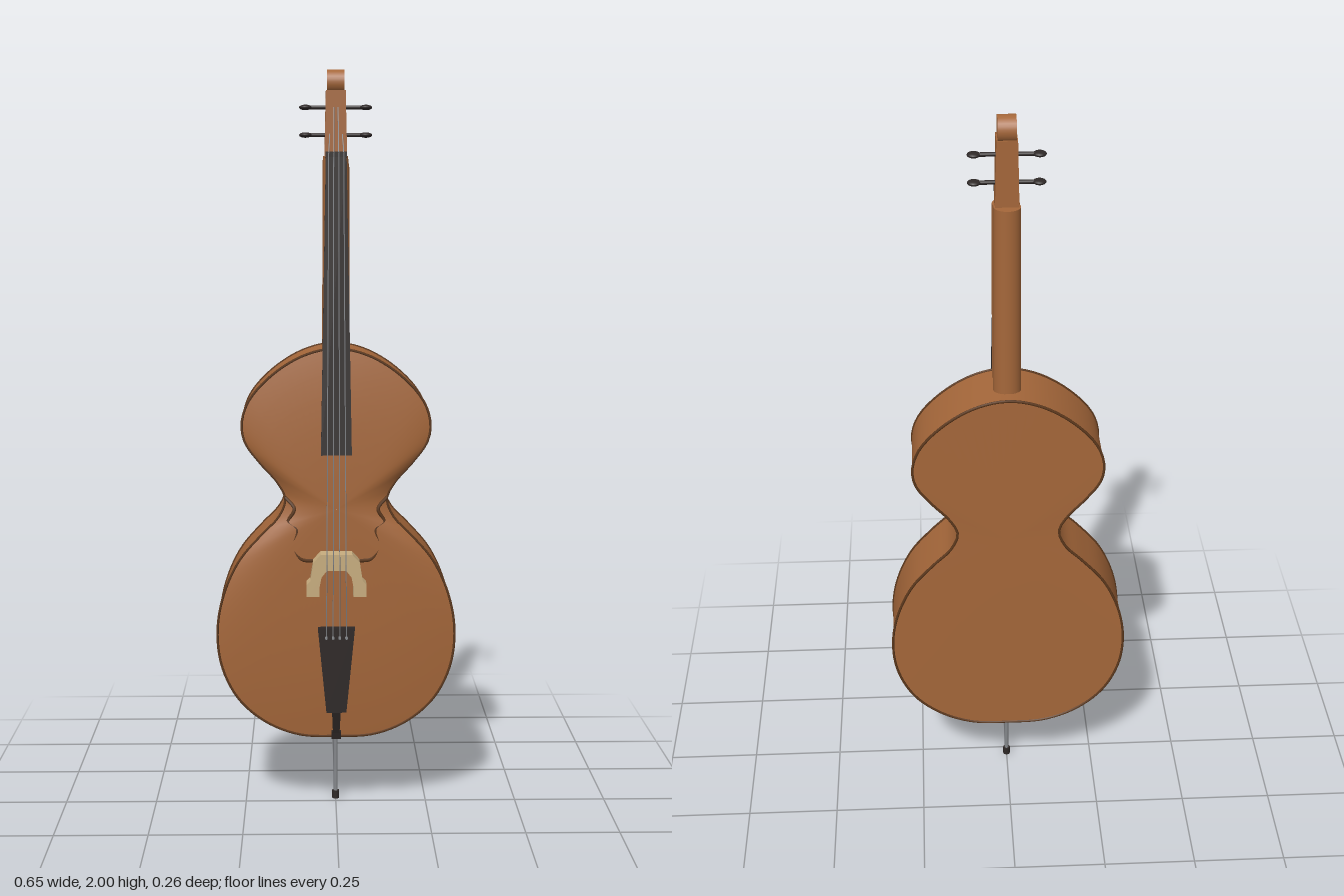
import * as THREE from 'three';

const mat = (name, color, side = THREE.FrontSide) => {
  const m = new THREE.MeshStandardMaterial({ color, side });
  m.name = name;
  return m;
};

export function createModel() {
  const wood = mat('wood', 0xa5673a);
  const edge = mat('dark wood edge', 0x5c381c);
  const ebony = mat('ebony', 0x2e2827);
  const maple = mat('pale maple', 0xc8ad7f);
  const steel = mat('steel', 0x85888c);

  const group = new THREE.Group();
  const add = (name, geometry, material) => {
    const mesh = new THREE.Mesh(geometry, material);
    mesh.name = name;
    group.add(mesh);
    return mesh;
  };

  // Body outline, counterclockwise from the bottom centre
  const half = [[0.1, 0.21], [0.19, 0.245], [0.265, 0.31], [0.31, 0.4], [0.322, 0.5], [0.305, 0.6],
    [0.262, 0.695], [0.2, 0.768], [0.155, 0.815], [0.136, 0.865], [0.157, 0.91], [0.205, 0.965],
    [0.244, 1.02], [0.252, 1.07], [0.233, 1.13], [0.17, 1.2], [0.085, 1.252]];
  const ring = [[0, 0.205], ...half, [0, 1.27], ...half.map(([x, y]) => [-x, y]).reverse()];
  const outline = new THREE.CatmullRomCurve3(ring.map(([x, y]) => new THREE.Vector3(x, y, 0)), true);
  const N = 120;
  const points = outline.getPoints(N).slice(0, N);
  const centreY = 0.84;

  // Joins rings of the outline, each given as [scale, z]
  const loft = (rings) => {
    const pos = [], idx = [];
    rings.forEach(([s, z], i) => points.forEach((p, j) => {
      pos.push(p.x * s, centreY + (p.y - centreY) * s, z);
      if (i === rings.length - 1) return;
      const a = i * N + j, b = i * N + (j + 1) % N;
      idx.push(a, b, b + N, a, b + N, a + N);
    }));
    const g = new THREE.BufferGeometry();
    g.setAttribute('position', new THREE.Float32BufferAttribute(pos, 3));
    g.setIndex(idx);
    g.computeVertexNormals();
    return g;
  };
  const dome = (s) => 0.053 + 0.022 * (1 - s ** 3);
  add('ribs', loft([[1, -0.124], [1, 0.053]]), wood);
  add('frontPlate', loft([1, 0.94, 0.85, 0.72, 0.55, 0.35, 0.15, 0.001].map((s) => [s, dome(s)])), wood);
  add('backPlate', loft([[0.001, -0.125], [0.5, -0.125], [1, -0.124]]), wood);

  // Dark edging round both plates
  for (const [name, z] of [['frontEdging', 0.052], ['backEdging', -0.124]]) {
    add(name, new THREE.TubeGeometry(outline, 160, 0.0037, 6, true), edge).position.z = z;
  }

  // Curved sound slots running from the waist towards the bridge
  for (const side of [-1, 1]) {
    const path = [[0.136, 0.87, 0.053], [0.112, 0.84, 0.063], [0.128, 0.805, 0.062], [0.105, 0.785, 0.069],
      [0.116, 0.74, 0.068], [0.095, 0.705, 0.071], [0.06, 0.7, 0.073]];
    const curve = new THREE.CatmullRomCurve3(path.map(([x, y, z]) => new THREE.Vector3(side * x, y, z)));
    add('soundSlot', new THREE.TubeGeometry(curve, 40, 0.0055, 6), edge);
  }

  // Tapered bar between two ends, each [width, depth, y, z]
  const bar = (name, low, high, material) => {
    const g = new THREE.BoxGeometry(1, 1, 1).toNonIndexed();
    const p = g.attributes.position;
    for (let i = 0; i < p.count; i++) {
      const [w, d, y, z] = p.getY(i) < 0 ? low : high;
      p.setXYZ(i, p.getX(i) * w, y, z + p.getZ(i) * d);
    }
    g.computeVertexNormals();
    return add(name, g, material);
  };

  // Neck in two rounded lengths, front and back
  const neck = (name, rTop, rLow, y0, y1, z, depth) => {
    const m = add(name, new THREE.CylinderGeometry(rTop, rLow, y1 - y0, 28), wood);
    m.position.set(0, (y0 + y1) / 2, z);
    m.scale.z = depth;
  };
  neck('neckBack', 0.034, 0.037, 1.2, 1.775, -0.052, 0.93);
  neck('neckFront', 0.035, 0.037, 1.2, 1.755, 0.019, 0.98);

  // Pegbox and rounded head
  bar('pegbox', [0.06, 0.063, 1.77, -0.026], [0.052, 0.063, 1.945, -0.026], wood);
  const head = add('scroll', new THREE.CylinderGeometry(0.034, 0.034, 0.046, 28), wood);
  head.rotation.z = Math.PI / 2;
  head.position.set(0, 1.966, -0.027);

  // Fingerboard, nut and tailpiece
  bar('fingerboard', [0.082, 0.022, 0.99, 0.09], [0.054, 0.022, 1.78, 0.055], ebony);
  bar('nut', [0.056, 0.028, 1.77, 0.057], [0.056, 0.028, 1.785, 0.057], ebony);
  bar('tailpiece', [0.054, 0.018, 0.285, 0.091], [0.1, 0.02, 0.52, 0.092], ebony);
  bar('tailLoop', [0.018, 0.012, 0.22, 0.069], [0.024, 0.014, 0.29, 0.091], ebony);
  bar('saddle', [0.026, 0.04, 0.2, 0.045], [0.026, 0.04, 0.222, 0.05], ebony);

  // Arched bridge with splayed legs and feet
  const right = [[0.042, 0.727], [0.062, 0.705], [0.07, 0.655], [0.08, 0.645], [0.08, 0.612],
    [0.045, 0.612], [0.045, 0.64], [0.04, 0.665], [0.026, 0.683]];
  const arch = new THREE.Shape([...right, ...right.map(([x, y]) => [-x, y]).reverse()]
    .map(([x, y]) => new THREE.Vector2(x, y)));
  add('bridge', new THREE.ExtrudeGeometry(arch, { depth: 0.05, bevelEnabled: false }), maple).position.z = 0.074;

  // Round rod between two points
  const rod = (name, a, b, r, material, sides = 6) => {
    const from = new THREE.Vector3(...a), to = new THREE.Vector3(...b);
    const dir = to.clone().sub(from);
    const m = add(name, new THREE.CylinderGeometry(r, r, dir.length(), sides), material);
    m.position.copy(from).add(to).multiplyScalar(0.5);
    m.quaternion.setFromUnitVectors(new THREE.Vector3(0, 1, 0), dir.normalize());
  };

  // Four strings, each from tailpiece over bridge and nut to the pegbox
  for (const k of [-1.5, -0.5, 0.5, 1.5]) {
    const path = [[k * 0.018, 0.495, 0.103], [k * 0.017, 0.7, 0.126], [k * 0.013, 1.782, 0.072],
      [k * 0.011, Math.abs(k) > 1 ? 1.83 : 1.9, Math.abs(k) > 1 ? 0.045 : 0.016]];
    for (let i = 0; i < 3; i++) rod('string', path[i], path[i + 1], 0.0015, steel);
    rod('stringAnchor', [k * 0.018, 0.495, 0.1], [k * 0.018, 0.495, 0.112], 0.004, steel);
  }

  // Tuning pegs with flattened round grips
  for (const y of [1.83, 1.902]) {
    rod('pegShaft', [-0.08, y, -0.03], [0.08, y, -0.03], 0.0055, ebony, 12);
    for (const side of [-1, 1]) {
      const grip = add('pegGrip', new THREE.SphereGeometry(0.017, 18, 12), ebony);
      grip.position.set(side * 0.08, y, -0.03);
      grip.scale.y = 0.42;
    }
  }

  // Endpin with collar and tip
  rod('endpinCollar', [0, 0.19, -0.025], [0, 0.212, -0.025], 0.013, ebony, 16);
  rod('endpin', [0, 0.01, -0.025], [0, 0.2, -0.025], 0.0055, steel, 12);
  rod('endpinTip', [0, 0, -0.025], [0, 0.022, -0.025], 0.01, ebony, 16);

  return group;
}
